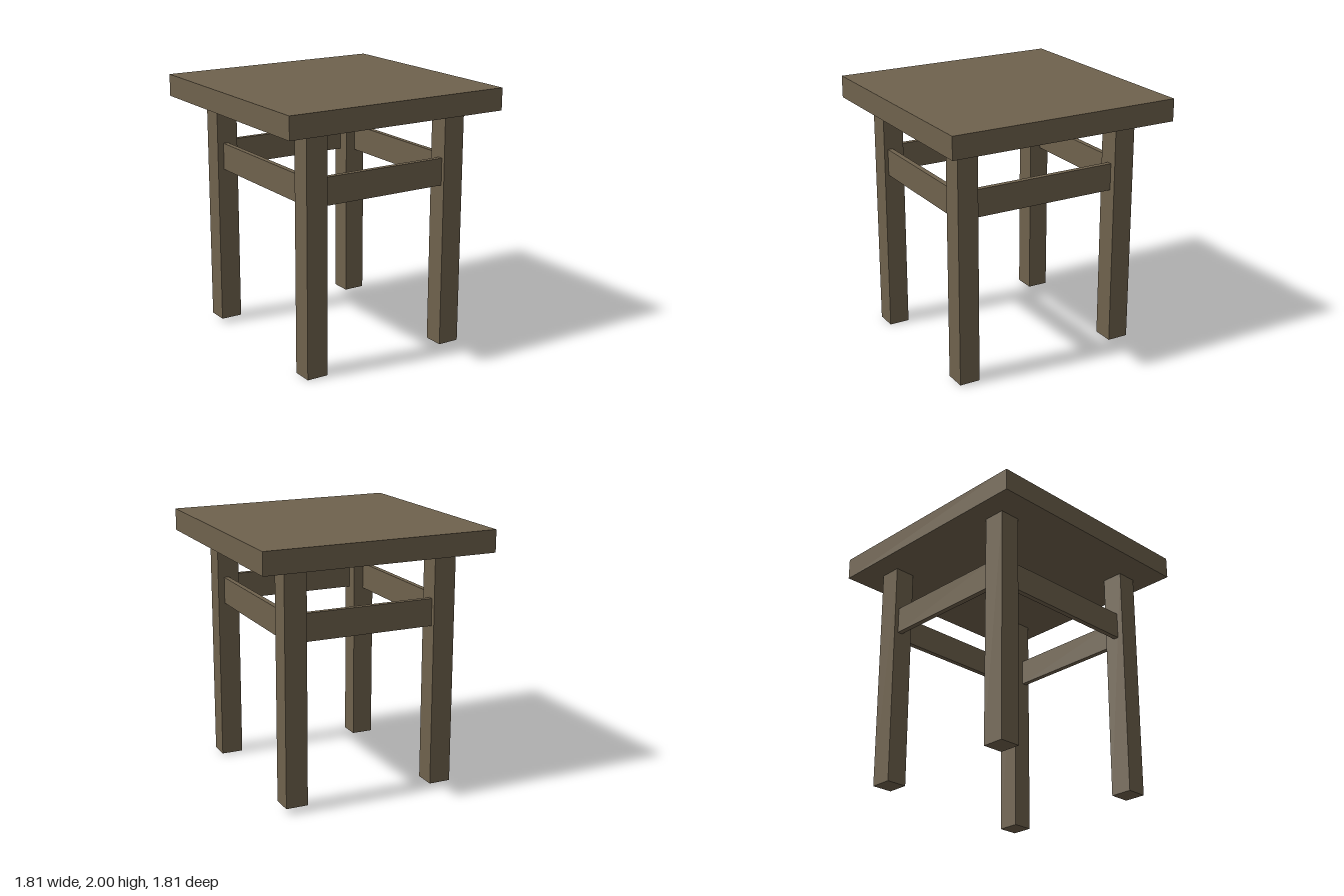
import * as THREE from 'three';

export function createModel() {
  const group = new THREE.Group();
  const wood = new THREE.MeshStandardMaterial({ color: 0x6f624d });
  wood.name = 'brown wood';

  // Box given by its lower and upper corners
  const addBox = (name, [x0, y0, z0], [x1, y1, z1]) => {
    const mesh = new THREE.Mesh(new THREE.BoxGeometry(x1 - x0, y1 - y0, z1 - z0), wood);
    mesh.position.set((x0 + x1) / 2, (y0 + y1) / 2, (z0 + z1) / 2);
    mesh.name = name;
    group.add(mesh);
  };

  const seatBottom = 1.83;
  const inX = 0.51, outX = 0.68;
  const frontZ = [0.59, 0.75], backZ = [-0.73, -0.565];

  // Square seat slab
  addBox('seat', [-0.907, seatBottom, -0.907], [0.907, 2, 0.907]);

  // Four legs, slightly uneven in length
  const legs = [
    ['frontRightLeg', -1, frontZ, 0], ['frontLeftLeg', 1, frontZ, 0.01],
    ['backRightLeg', -1, backZ, 0.035], ['backLeftLeg', 1, backZ, 0.047],
  ];
  for (const [name, side, [z0, z1], foot] of legs) {
    const [x0, x1] = side > 0 ? [inX, outX] : [-outX, -inX];
    addBox(name, [x0, foot, z0], [x1, seatBottom, z1]);
  }

  // Rails between the legs, set back from the outer leg faces
  const low = 1.275, high = 1.483, thick = 0.04;
  addBox('frontRail', [-inX, low, 0.72 - thick], [inX, high, 0.72]);
  addBox('backRail', [-inX, low, -0.695], [inX, high, -0.695 + thick]);
  addBox('leftRail', [0.63 - thick, low, backZ[1]], [0.63, high, frontZ[0]]);
  addBox('rightRail', [-0.63, low, backZ[1]], [-0.63 + thick, high, frontZ[0]]);

  return group;
}
